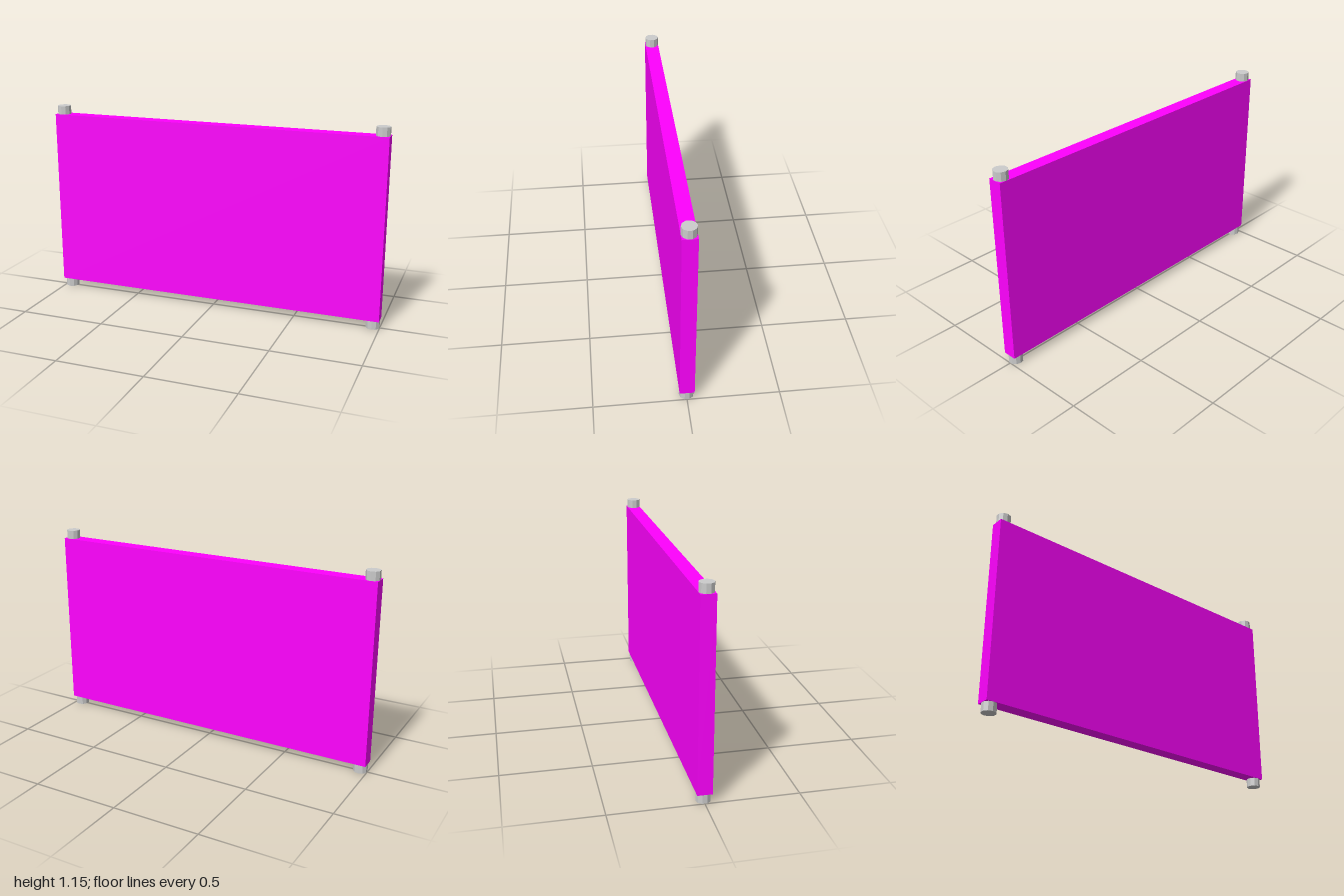
import * as THREE from 'three';

const HEIGHT = 1.15, DEPTH = 0.08, GAP = 0.05;

export function createModel() {
  const model = new THREE.Group();
  model.name = 'panelWithPosts';

  // Solid panel held between the posts
  const panel = new THREE.Mesh(
    new THREE.BoxGeometry(2, HEIGHT - 2 * GAP, DEPTH),
    new THREE.MeshStandardMaterial({ color: 0xff00ff })
  );
  panel.name = 'panel';
  panel.position.y = HEIGHT / 2;
  model.add(panel);

  // Faceted posts whose ends show above and below the panel
  const postGeometry = new THREE.CylinderGeometry(DEPTH / 2, DEPTH / 2, HEIGHT, 10);
  const postMaterial = new THREE.MeshStandardMaterial({ color: 0xcccccc, flatShading: true });
  for (const [name, side] of [['leftPost', 1], ['rightPost', -1]]) {
    const post = new THREE.Mesh(postGeometry, postMaterial);
    post.name = name;
    post.position.set(side * (1 - DEPTH / 2), HEIGHT / 2, 0);
    model.add(post);
  }

  return model;
}
